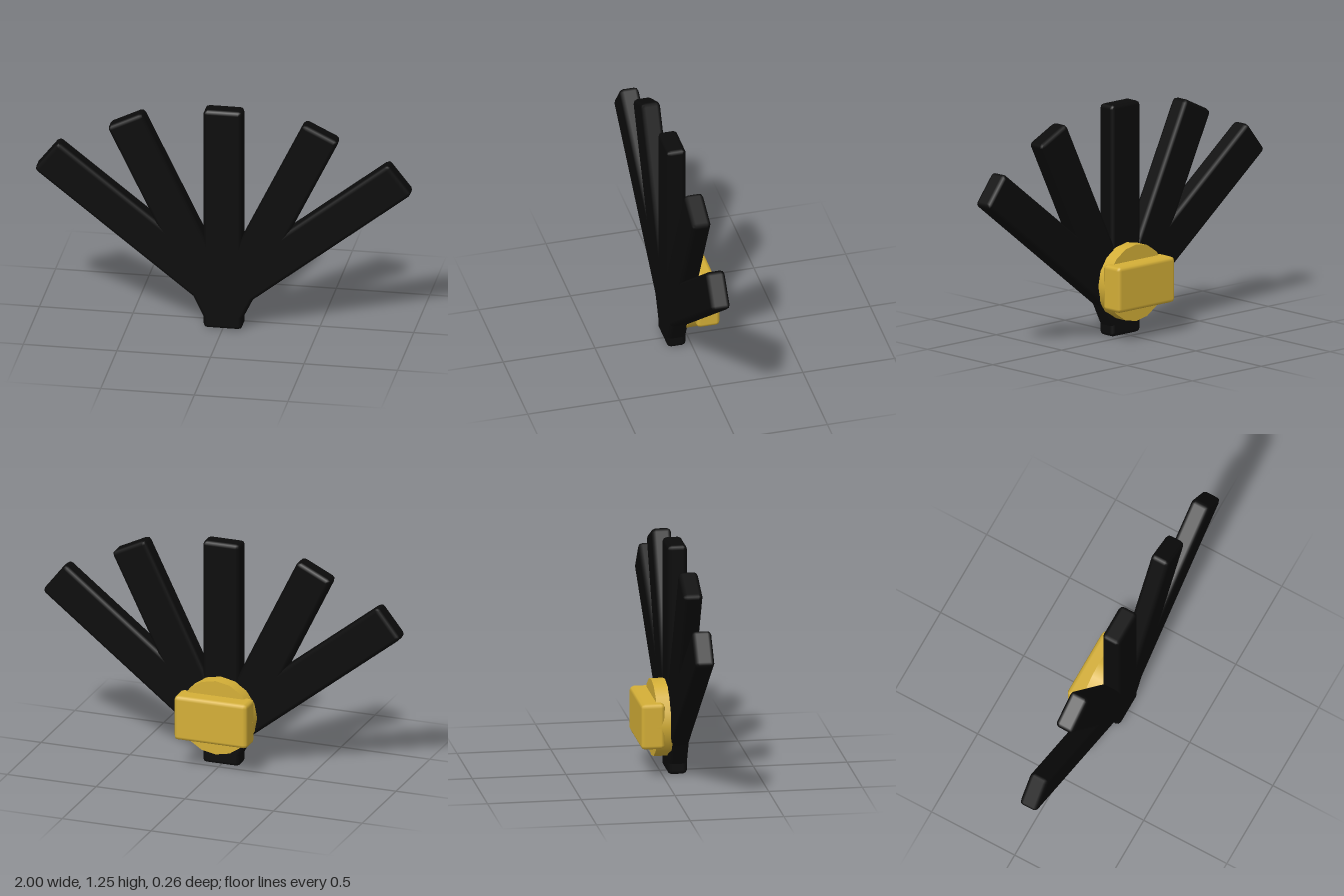
import * as THREE from 'three';
import { RoundedBoxGeometry } from 'three/addons/geometries/RoundedBoxGeometry.js';

export function createModel() {
  const model = new THREE.Group();
  const black = new THREE.MeshStandardMaterial({ color: 0x0b0b0b });
  const gold = new THREE.MeshStandardMaterial({ color: 0xd4af37 });

  const add = (name, geometry, material, x, y, z, parent = model) => {
    const mesh = new THREE.Mesh(geometry, material);
    mesh.name = name;
    mesh.position.set(x, y, z);
    parent.add(mesh);
    return mesh;
  };

  // Fan of chamfered bars; each is placed by the centre of its tip and its lean
  const fan = new THREE.Group();
  fan.name = 'fan';
  model.add(fan);
  const addBar = (name, tipX, tipY, lean, length) => {
    const geometry = new RoundedBoxGeometry(0.208, length, 0.104, 1, 0.022);
    geometry.translate(0, -length / 2, 0);
    add(name, geometry, black, tipX, tipY, 0.08, fan).rotation.z = -lean;
  };
  addBar('centreBar', 0, 1.25, 0, 1.25);
  for (const [side, s] of [['left', 1], ['right', -1]]) {
    addBar(side + 'InnerBar', s * 0.525, 1.16, s * 0.454, 1.22);
    addBar(side + 'OuterBar', s * 0.945, 0.925, s * 0.904, 1.23);
  }

  // Round mount behind the point where the bars meet
  const disc = new THREE.CylinderGeometry(0.207, 0.207, 0.085, 16);
  disc.rotateX(Math.PI / 2);
  add('mountDisc', disc, gold, 0, 0.293, -0.0025);

  // Chamfered block across the back of the mount
  add('backBlock', new RoundedBoxGeometry(0.412, 0.248, 0.128, 1, 0.022), gold, 0, 0.293, -0.066);

  return model;
}
